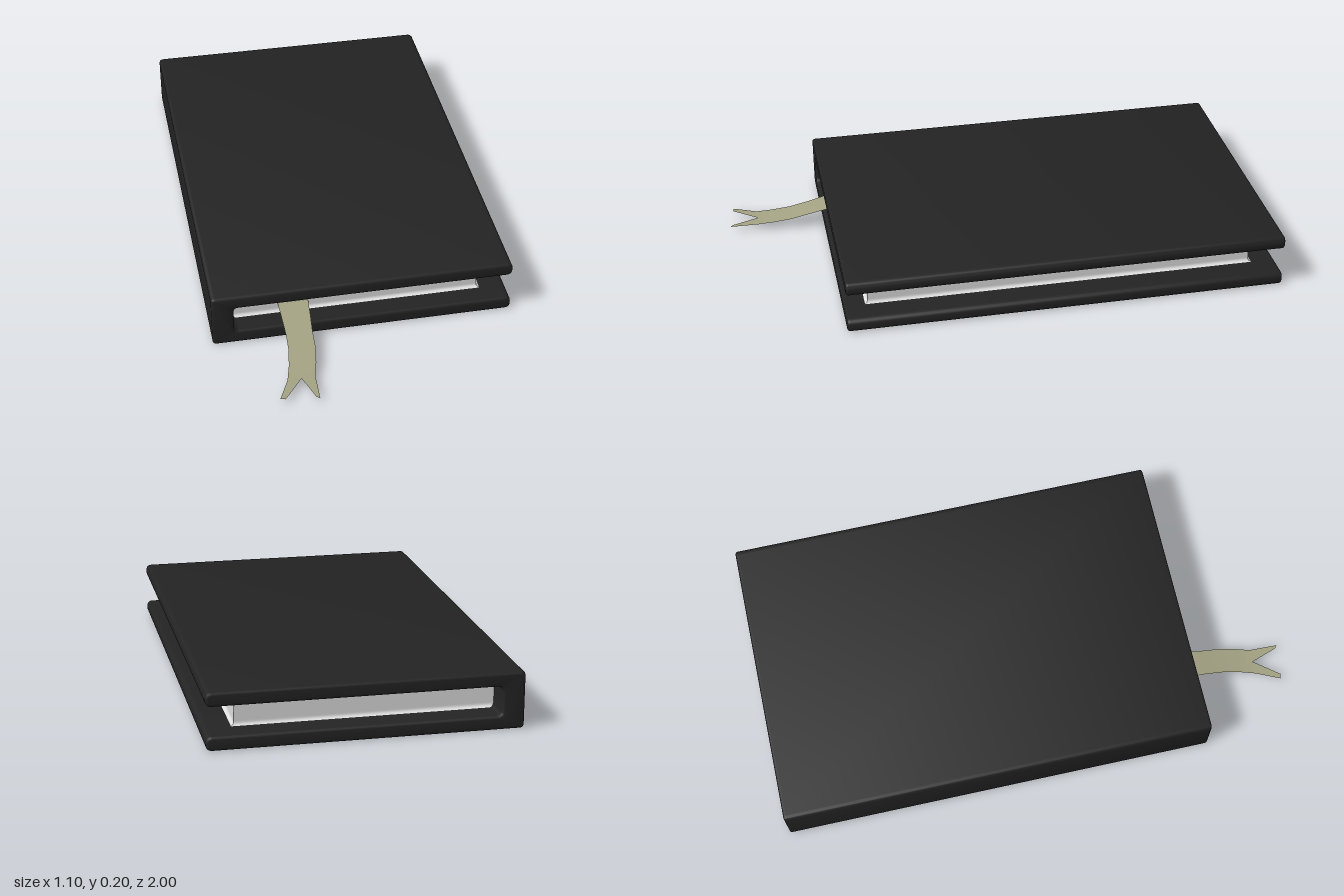
import * as THREE from 'three';
import { toCreasedNormals } from 'three/addons/utils/BufferGeometryUtils.js';

const coverMat = new THREE.MeshStandardMaterial({ color: 0x232323 });
coverMat.name = 'black cover';
const pageMat = new THREE.MeshStandardMaterial({ color: 0xdedede });
pageMat.name = 'white paper';
const ribbonMat = new THREE.MeshStandardMaterial({ color: 0xa3a283, side: THREE.DoubleSide });
ribbonMat.name = 'olive ribbon';

// Closed outline with every corner rounded by its own radius: [x, y, r]
function roundedShape(corners) {
  const shape = new THREE.Shape();
  corners.forEach(([x, y, r], i) => {
    const p = new THREE.Vector2(x, y);
    const toward = ([nx, ny]) => new THREE.Vector2(nx, ny).sub(p).setLength(r).add(p);
    const a = toward(corners.at(i - 1));
    const b = toward(corners[(i + 1) % corners.length]);
    if (i === 0) shape.moveTo(a.x, a.y);
    else shape.lineTo(a.x, a.y);
    shape.quadraticCurveTo(x, y, b.x, b.y);
  });
  shape.closePath();
  return shape;
}

// Spine and both boards as one C-shaped section run along z
function makeCover() {
  const bevel = 0.01;
  const shape = roundedShape([
    [-0.553, 0, 0.016], [0.55, 0, 0.022], [0.55, 0.05, 0.022], [-0.473, 0.05, 0.018],
    [-0.473, 0.155, 0.018], [0.55, 0.155, 0.022], [0.55, 0.205, 0.022], [-0.553, 0.205, 0.016],
  ]);
  const geo = new THREE.ExtrudeGeometry(shape, {
    depth: 1.635 - 2 * bevel, curveSegments: 5,
    bevelEnabled: true, bevelThickness: bevel, bevelSize: bevel, bevelOffset: -bevel, bevelSegments: 3,
  });
  geo.translate(0, 0, -1 + bevel);
  return new THREE.Mesh(toCreasedNormals(geo, 0.7), coverMat);
}

// Page block whose sides flare out where they meet the boards
function makePages() {
  const h = 0.108, flare = 0.014;
  const geo = new THREE.BoxGeometry(0.93, h, 1.445, 1, 24, 1);
  const pos = geo.attributes.position;
  for (let i = 0; i < pos.count; i++) {
    const x = pos.getX(i), z = pos.getZ(i);
    const t = Math.max(0, Math.abs(pos.getY(i)) - (h / 2 - flare)) / flare;
    const out = flare * (1 - Math.sqrt(Math.max(0, 1 - t * t)));
    pos.setX(i, x + Math.sign(x) * out);
    pos.setZ(i, z + Math.sign(z) * out);
  }
  geo.computeVertexNormals();
  const mesh = new THREE.Mesh(geo, pageMat);
  mesh.position.set(-0.025, 0.1025, -0.1755);
  return mesh;
}

// Bookmark: a drooping strip ending in a flat swallowtail
function makeRibbon() {
  // left x, right x, y, z of each cross-section
  const rows = [
    [-0.303, -0.188, 0.088, 0.52], [-0.3, -0.195, 0.078, 0.62], [-0.297, -0.2, 0.061, 0.69],
    [-0.299, -0.202, 0.045, 0.76], [-0.31, -0.212, 0.032, 0.83], [-0.325, -0.226, 0.021, 0.89],
  ];
  const verts = [], index = [];
  rows.forEach(([l, r, y, z], i) => {
    verts.push(l, y, z, (l + r) / 2, y, z, r, y, z);
    if (i === 0) return;
    for (let k = 0; k < 2; k++) {
      const a = (i - 1) * 3 + k, b = i * 3 + k;
      index.push(a, b, a + 1, b, b + 1, a + 1);
    }
  });
  const n = (rows.length - 1) * 3, tip = rows.length * 3;
  verts.push(-0.365, 0.02, 0.978, -0.347, 0.02, 0.983, -0.241, 0.02, 0.99, -0.229, 0.02, 1);
  index.push(n, tip, tip + 1, n, tip + 1, n + 1);
  index.push(n + 1, tip + 2, tip + 3, n + 1, tip + 3, n + 2);
  const geo = new THREE.BufferGeometry();
  geo.setAttribute('position', new THREE.Float32BufferAttribute(verts, 3));
  geo.setIndex(index);
  geo.computeVertexNormals();
  return new THREE.Mesh(geo, ribbonMat);
}

export function createModel() {
  const book = new THREE.Group();
  book.name = 'book';
  const parts = { cover: makeCover(), pages: makePages(), bookmarkRibbon: makeRibbon() };
  for (const [name, mesh] of Object.entries(parts)) {
    mesh.name = name;
    book.add(mesh);
  }
  return book;
}
